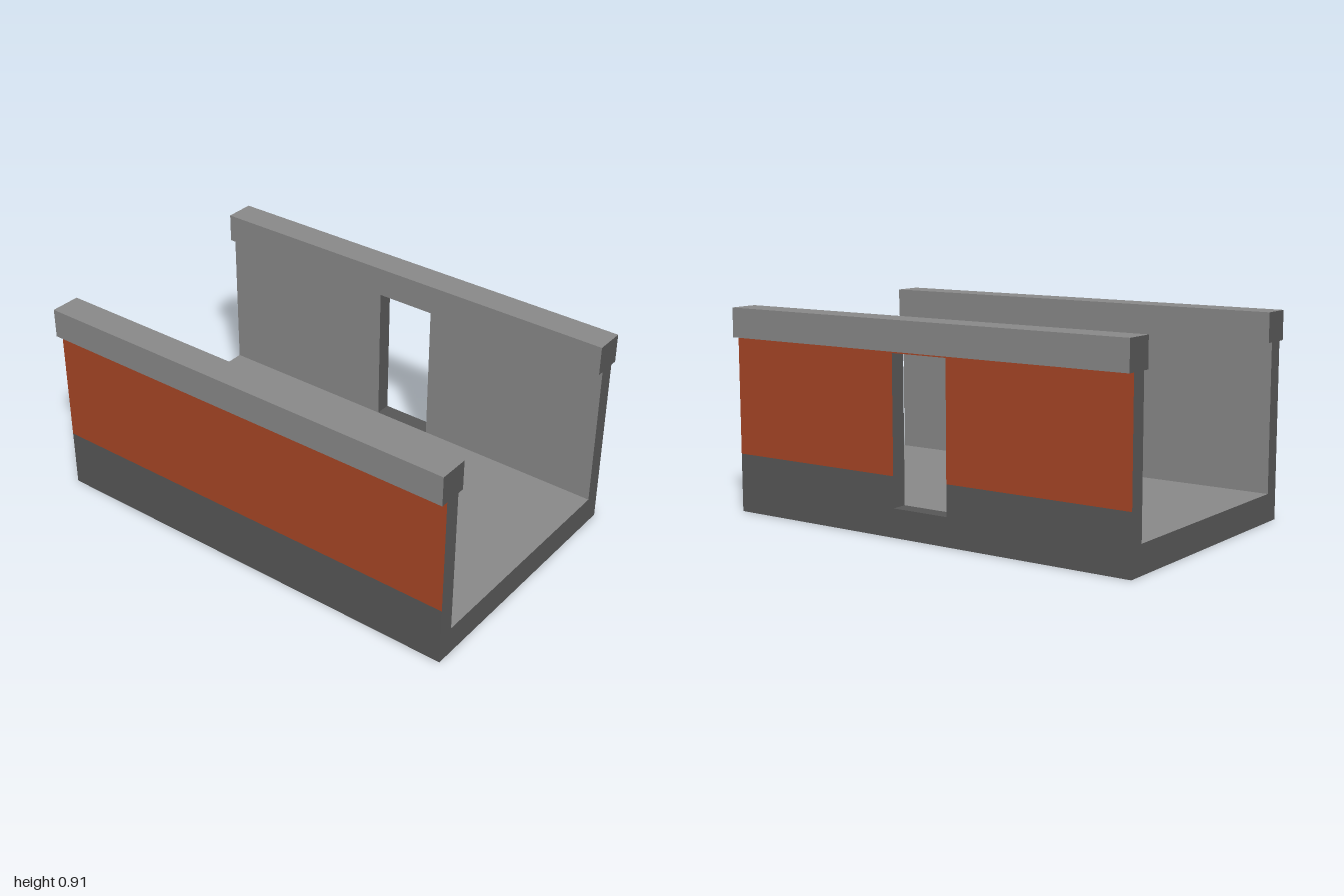
import * as THREE from 'three';

const material = (name, color) => Object.assign(new THREE.MeshStandardMaterial({ color }), { name });

export function createModel() {
  const group = new THREE.Group();
  group.name = 'corridor';
  const light = material('light grey', 0x888888);
  const dark = material('dark grey', 0x565656);
  const rust = material('rust orange', 0xa64525);

  const floorTop = 0.125, bandTop = 0.26, wallTop = 0.78, capTop = 0.91;
  const inner = 0.535, outer = 0.608;
  const doorHalf = 0.137, doorTop = 0.77;

  // Box between two corners; faces ordered +x, -x, top, bottom, +z, -z
  function box(name, [x0, y0, z0], [x1, y1, z1], faces) {
    const mesh = new THREE.Mesh(new THREE.BoxGeometry(x1 - x0, y1 - y0, z1 - z0), faces);
    mesh.position.set((x0 + x1) / 2, (y0 + y1) / 2, (z0 + z1) / 2);
    mesh.name = name;
    group.add(mesh);
  }

  // Upright piece on one side: outer face in its own colour, inner face light
  function sidePiece(name, side, near, far, y0, y1, z0, z1, outside, inside = light, top = dark, bottom = dark) {
    const xs = [side * near, side * far].sort((a, b) => a - b);
    const faces = side > 0 ? [outside, inside] : [inside, outside];
    box(name, [xs[0], y0, z0], [xs[1], y1, z1], [...faces, top, bottom, dark, dark]);
  }

  // Floor slab
  box('floor', [-inner, 0, -1], [inner, floorTop, 1], [dark, dark, light, dark, dark, dark]);

  for (const side of [-1, 1]) {
    const label = side > 0 ? 'left' : 'right';
    // Kerb beside the floor, also the door sill
    sidePiece(label + 'Kerb', side, inner, outer, 0, floorTop, -1, 1, dark, dark);

    // Wall bands, split around the doorway on the +x side
    const spans = side > 0 ? [[-1, -doorHalf], [doorHalf, 1]] : [[-1, 1]];
    for (const [z0, z1] of spans) {
      sidePiece(label + 'LowerWall', side, inner, outer, floorTop, bandTop, z0, z1, dark);
      sidePiece(label + 'UpperWall', side, inner, outer, bandTop, wallTop, z0, z1, rust);
    }

    // Heavy coping along the wall top
    sidePiece(label + 'Coping', side, 0.505, 0.64, wallTop, capTop, -1, 1, light, light, light, light);
  }

  // Thin lintel above the doorway
  sidePiece('doorLintel', 1, inner, outer, doorTop, wallTop, -doorHalf, doorHalf, rust);

  return group;
}
